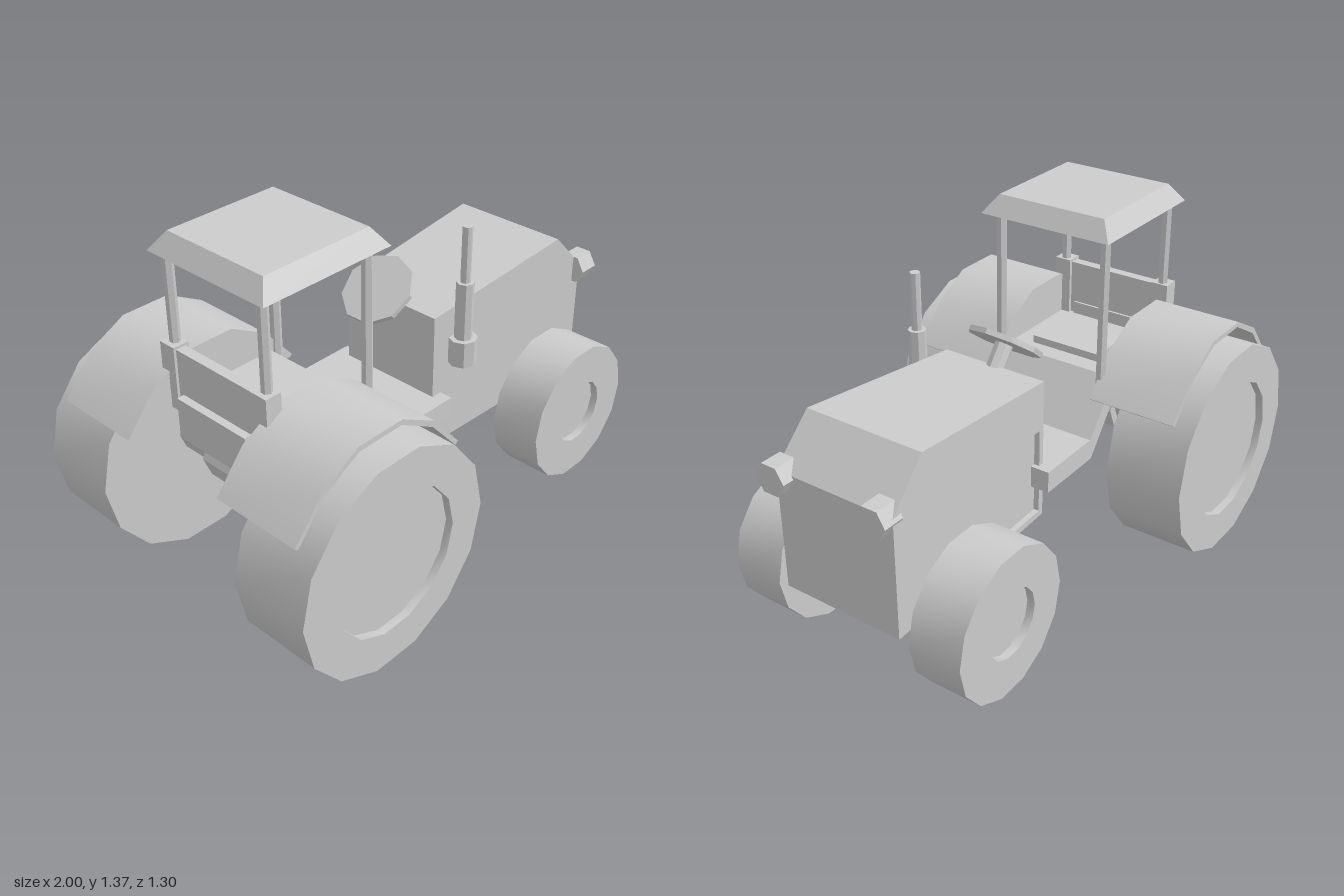
import * as THREE from 'three';
import { toCreasedNormals } from 'three/addons/utils/BufferGeometryUtils.js';

const material = new THREE.MeshStandardMaterial({ color: 0xcccccc });
const doubleSided = new THREE.MeshStandardMaterial({ color: 0xcccccc, side: THREE.DoubleSide });

export function createModel() {
  const model = new THREE.Group();
  model.name = 'tractor';

  function add(name, geometry, x = 0, y = 0, z = 0, mat = material) {
    const mesh = new THREE.Mesh(toCreasedNormals(geometry, 0.6), mat);
    mesh.name = name;
    mesh.position.set(x, y, z);
    model.add(mesh);
    return mesh;
  }
  const box = (name, w, h, d, x, y, z) => add(name, new THREE.BoxGeometry(w, h, d), x, y, z);
  const toShape = (pts) => new THREE.Shape(pts.map((p) => new THREE.Vector2(...p)));

  // Side profile extruded across the width, from z0 to z1
  function extrude(shape, z0, z1) {
    return new THREE.ExtrudeGeometry(shape, { depth: z1 - z0, bevelEnabled: false }).translate(0, 0, z0);
  }
  // Upright cylinder between two heights
  function post(name, r, y0, y1, x, z, sides) {
    return add(name, new THREE.CylinderGeometry(r, r, y1 - y0, sides), x, (y0 + y1) / 2, z);
  }
  // Cylinder lying across the tractor
  function axle(name, r, length, x, y, sides) {
    add(name, new THREE.CylinderGeometry(r, r, length, sides).rotateX(Math.PI / 2), x, y, 0);
  }
  // Fourteen-sided wheel with a recessed hub on its outer face
  function wheel(name, r, hub, width, x, y, z) {
    const h = width / 2;
    const profile = [[0, -h], [r, -h], [r, h], [hub, h], [hub, h - 0.03], [0, h - 0.03]];
    const g = new THREE.LatheGeometry(profile.map((p) => new THREE.Vector2(...p)), 14, Math.PI / 2);
    g.rotateX(Math.PI / 2);
    if (z < 0) g.rotateY(Math.PI);
    add(name, g, x, y, z);
  }

  // Engine hood, slightly wider at the nose
  const taper = (g) => {
    const p = g.attributes.position;
    for (let i = 0; i < p.count; i++) {
      const t = (p.getX(i) - 0.095) / 0.86;
      p.setZ(i, p.getZ(i) * (0.88 + 0.12 * t));
    }
    return g;
  };
  const hoodProfile = [[0.095, 0.315], [0.955, 0.315], [0.955, 0.78], [0.8, 0.94], [0.095, 0.87]];
  add('hood', taper(extrude(toShape(hoodProfile), -0.22, 0.245)));

  // Side panel with the engine recess
  const panel = toShape(hoodProfile);
  panel.holes.push(new THREE.Path([[0.12, 0.34], [0.12, 0.68], [0.77, 0.74], [0.77, 0.34]]
    .map((p) => new THREE.Vector2(...p))));
  add('hoodSidePanel', taper(extrude(panel, -0.245, -0.22)));

  // Footplate rising to the seat platform
  add('cabFloor', extrude(toShape([
    [0.14, 0.45], [0.14, 0.535], [-0.14, 0.535], [-0.3, 0.73], [-0.72, 0.73],
    [-0.72, 0.65], [-0.305, 0.65], [-0.15, 0.45],
  ]), -0.27, 0.27));
  box('seat', 0.25, 0.03, 0.3, -0.5, 0.745, 0);

  // Cab rear
  box('cabBackPanel', 0.04, 0.24, 0.44, -0.73, 0.83, 0);
  box('rearBlock', 0.08, 0.16, 0.34, -0.74, 0.7, 0);

  // Wheels, fenders and cab posts on both sides
  const arch = [[-0.955, 0.67], [-0.835, 0.815], [-0.68, 0.9], [-0.48, 0.9], [-0.325, 0.815], [-0.2, 0.67]];
  const inner = arch.map(([x, y]) => [-0.5775 + (x + 0.5775) * 0.965, y - (y > 0.68 ? 0.02 : 0.01)]).reverse();
  for (const s of [1, -1]) {
    wheel('rearWheel', 0.4257, 0.277, 0.31, -0.575, 0.415, s * 0.495);
    wheel('frontWheel', 0.283, 0.13, 0.205, 0.675, 0.308, s * 0.388);
    add('fender', extrude(toShape([...arch, ...inner]), -0.177, 0.177), 0, 0, s * 0.402, doubleSided);
    add('fenderInnerWall', extrude(toShape(inner), -0.008, 0.008), 0, 0, s * 0.235, doubleSided);
    box('rearPostBase', 0.065, 0.25, 0.07, -0.728, 0.835, s * 0.225);
    post('rearPost', 0.02, 0.95, 1.3, -0.723, s * 0.225, 6);
    post('frontPost', 0.021, 0.66, 1.3, -0.27, s * 0.228, 6);
  }

  // Axles
  axle('frontAxle', 0.038, 0.62, 0.675, 0.31, 8);
  axle('rearAxle', 0.085, 0.72, -0.575, 0.48, 8);
  axle('rearAxleHousing', 0.12, 0.34, -0.575, 0.48, 8);

  // Roof: a square frustum stretched to the cab
  const roof = new THREE.CylinderGeometry(Math.SQRT1_2 * 0.82, Math.SQRT1_2, 1, 4)
    .rotateY(Math.PI / 4).scale(0.56, 0.07, 0.55);
  add('roof', roof, -0.485, 1.33, 0);

  // Steering wheel and column share one tilt
  const tilt = Math.atan2(0.175, 0.225);
  const disc = new THREE.CylinderGeometry(0.143, 0.143, 0.02, 9).rotateY(Math.PI / 2);
  add('steeringWheel', disc, 0.028, 0.937, 0).rotation.z = tilt;
  add('steeringColumn', new THREE.CylinderGeometry(0.035, 0.035, 0.2, 8), 0.087, 0.86, 0).rotation.z = tilt;

  // Exhaust in three steps
  for (const [name, r, y0, y1] of [
    ['exhaustBase', 0.055, 0.655, 0.76], ['exhaustMuffler', 0.034, 0.76, 0.99], ['exhaustPipe', 0.019, 0.99, 1.21],
  ]) post(name, r, y0, y1, 0.215, 0.253, 8);

  // Hexagonal headlights
  for (const z of [0.232, -0.19]) {
    add('headlight', new THREE.CylinderGeometry(0.062, 0.062, 0.085, 6).rotateZ(Math.PI / 2), 0.957, 0.768, z);
  }
  return model;
}
